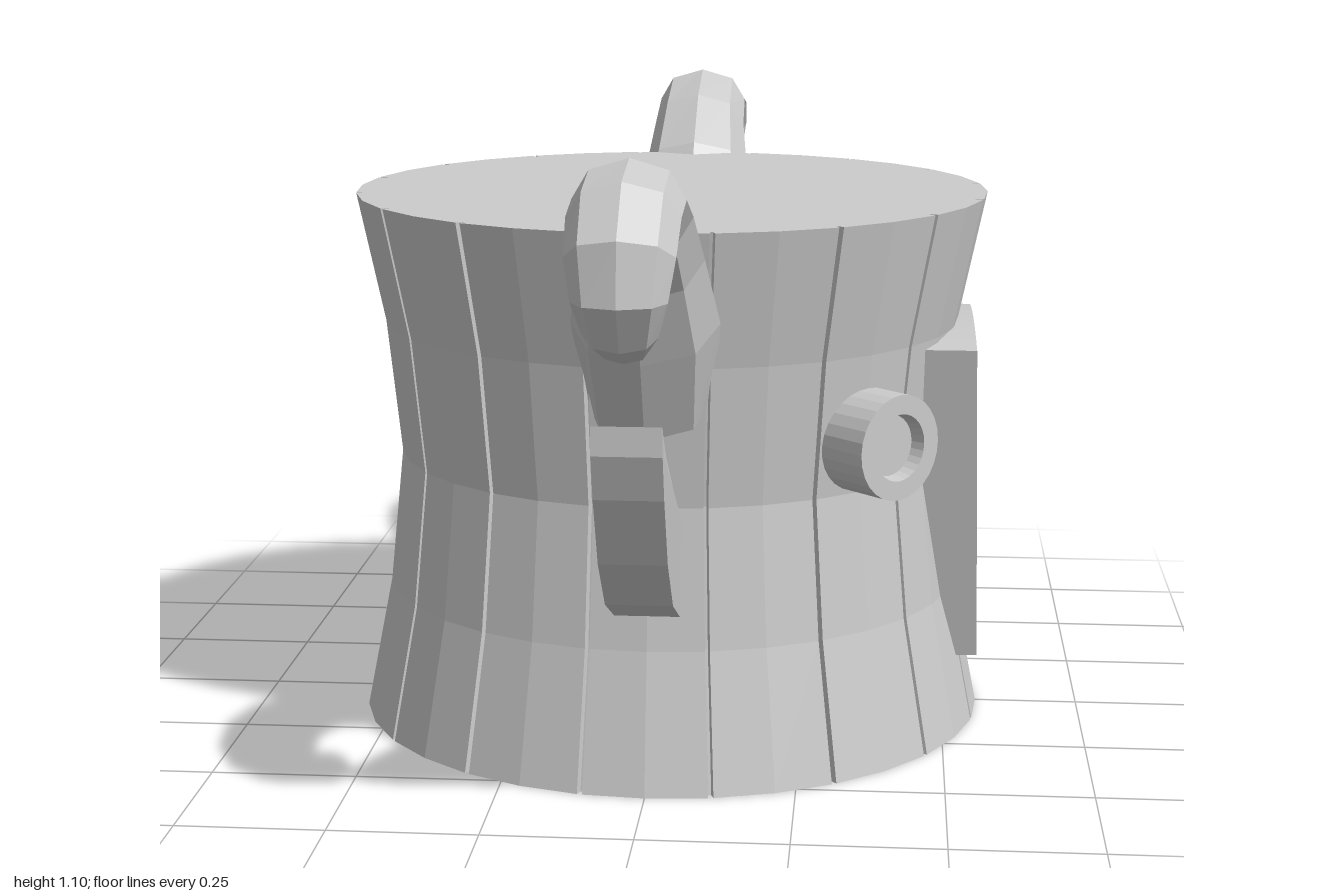
import * as THREE from 'three';

const material = new THREE.MeshStandardMaterial({ color: 0xcccccc, flatShading: true });

function part(name, geometry) {
  const mesh = new THREE.Mesh(geometry, material);
  mesh.name = name;
  return mesh;
}

// Skin a list of equal-length rings (counter-clockwise about the direction of travel), with end caps
function loft(rings) {
  const pos = [];
  const tri = (a, b, c) => pos.push(...a.toArray(), ...b.toArray(), ...c.toArray());
  const n = rings[0].length;
  for (let i = 0; i < rings.length - 1; i++) {
    for (let j = 0; j < n; j++) {
      const k = (j + 1) % n;
      const a = rings[i][j], b = rings[i][k], c = rings[i + 1][k], d = rings[i + 1][j];
      tri(a, b, c);
      tri(a, c, d);
    }
  }
  const cap = (ring, flip) => {
    const mid = ring.reduce((s, p) => s.add(p), new THREE.Vector3()).divideScalar(n);
    for (let j = 0; j < n; j++) {
      const p = ring[j], q = ring[(j + 1) % n];
      if (flip) tri(mid, q, p); else tri(mid, p, q);
    }
  };
  cap(rings[0], true);
  cap(rings[rings.length - 1], false);
  const g = new THREE.BufferGeometry();
  g.setAttribute('position', new THREE.Float32BufferAttribute(pos, 3));
  g.computeVertexNormals();
  return g;
}

// Waisted barrel of 16 planks with a narrow groove between neighbours
function bodyGeometry() {
  const rows = [[0, 0.565], [0.24, 0.517], [0.48, 0.492], [0.72, 0.517], [0.95, 0.565]];
  const step = Math.PI / 8, gap = 0.008;
  return loft(rows.map(([y, r]) => {
    const ring = [];
    const add = (a, rad) => ring.push(new THREE.Vector3(rad * Math.sin(a), y, rad * Math.cos(a)));
    for (let i = 0; i < 16; i++) {
      const a = (i + 0.5) * step;
      add(a - gap, r);
      add(a - gap * 0.6, r - 0.014);
      add(a + gap * 0.6, r - 0.014);
      add(a + gap, r);
      add(a + step / 2, r);
    }
    return ring;
  }));
}

// Curled horn: stations of z, y, half thickness in the curl plane, half width in x
function hornGeometry() {
  const s = [
    [0.45, 0.66, 0.11, 0.11], [0.53, 0.80, 0.105, 0.122], [0.605, 0.915, 0.09, 0.102],
    [0.69, 0.995, 0.073, 0.09], [0.79, 1.035, 0.062, 0.087], [0.875, 1.02, 0.061, 0.086],
    [0.935, 0.97, 0.055, 0.083], [0.95, 0.905, 0.042, 0.072], [0.925, 0.85, 0.031, 0.056],
    [0.875, 0.823, 0.023, 0.04], [0.825, 0.838, 0.016, 0.025], [0.815, 0.858, 0.006, 0.01],
  ];
  return loft(s.map(([z, y, r, w], i) => {
    const p = s[Math.max(i - 1, 0)], q = s[Math.min(i + 1, s.length - 1)];
    const len = Math.hypot(q[0] - p[0], q[1] - p[1]);
    const tz = (q[0] - p[0]) / len, ty = (q[1] - p[1]) / len;
    return Array.from({ length: 8 }, (_, j) => {
      const a = j * Math.PI / 4, n = r * Math.sin(a);
      return new THREE.Vector3(w * Math.cos(a), y + tz * n, z - ty * n);
    });
  }));
}

// Leaf-like ear: stations of z, lower edge, crease, upper edge, half width of the upper edge
function earGeometry() {
  const s = [
    [0.44, 0.29, 0.435, 0.545, 0.015], [0.51, 0.30, 0.475, 0.575, 0.02], [0.65, 0.36, 0.555, 0.63, 0.033],
    [0.75, 0.455, 0.61, 0.668, 0.044], [0.815, 0.575, 0.645, 0.69, 0.052], [0.843, 0.65, 0.66, 0.697, 0.055],
  ];
  const h = 0.055;
  return loft(s.map(([z, low, mid, top, w]) => [
    [-h, low], [h, low], [h, mid], [w, top], [-w, top], [-h, mid],
  ].map(([x, y]) => new THREE.Vector3(x, y, z))));
}

// Round stud with a sunken centre, turned about its own axis
function eyeGeometry() {
  const profile = [[0, 0.45], [0.09, 0.45], [0.09, 0.587], [0.057, 0.587], [0.052, 0.562], [0, 0.562]]
    .map(([r, y]) => new THREE.Vector2(r, y));
  return new THREE.LatheGeometry(profile, 28).rotateZ(-Math.PI / 2);
}

// Tapered face plate with an arched top and two bent slots running up from the lower edge
function plateGeometry() {
  const slot = [[0.037, 0.125], [0.037, 0.375], [0.131, 0.482], [0.121, 0.492], [0.022, 0.385], [0.022, 0.125]];
  const shape = new THREE.Shape();
  shape.moveTo(0.125, 0.125);
  shape.lineTo(0.235, 0.705);
  shape.quadraticCurveTo(0, 0.745, -0.235, 0.705);
  shape.lineTo(-0.125, 0.125);
  slot.forEach(([u, y]) => shape.lineTo(-u, y));
  [...slot].reverse().forEach(([u, y]) => shape.lineTo(u, y));
  const g = new THREE.ExtrudeGeometry(shape, { depth: 0.153, bevelEnabled: false, curveSegments: 8 });
  g.rotateY(Math.PI / 2).translate(0.4, 0, 0);
  // lean the plate slightly inward toward the top
  const p = g.attributes.position;
  for (let i = 0; i < p.count; i++) p.setX(i, p.getX(i) - 0.028 * (p.getY(i) - 0.42));
  g.computeVertexNormals();
  return g;
}

export function createModel() {
  const model = new THREE.Group();
  model.name = 'hornedBarrel';
  model.add(part('body', bodyGeometry()), part('facePlate', plateGeometry()));

  const horn = hornGeometry(), ear = earGeometry(), eye = eyeGeometry();
  for (const [side, turn, sign] of [['front', 0, 1], ['back', Math.PI, -1]]) {
    const pair = new THREE.Group();
    pair.name = side + 'HornAndEar';
    pair.add(part(side + 'Horn', horn), part(side + 'Ear', ear));
    pair.rotation.y = turn;
    const stud = part(side + 'Eye', eye);
    stud.position.y = 0.573;
    stud.rotation.y = -sign * Math.PI / 4;
    model.add(pair, stud);
  }
  return model;
}
